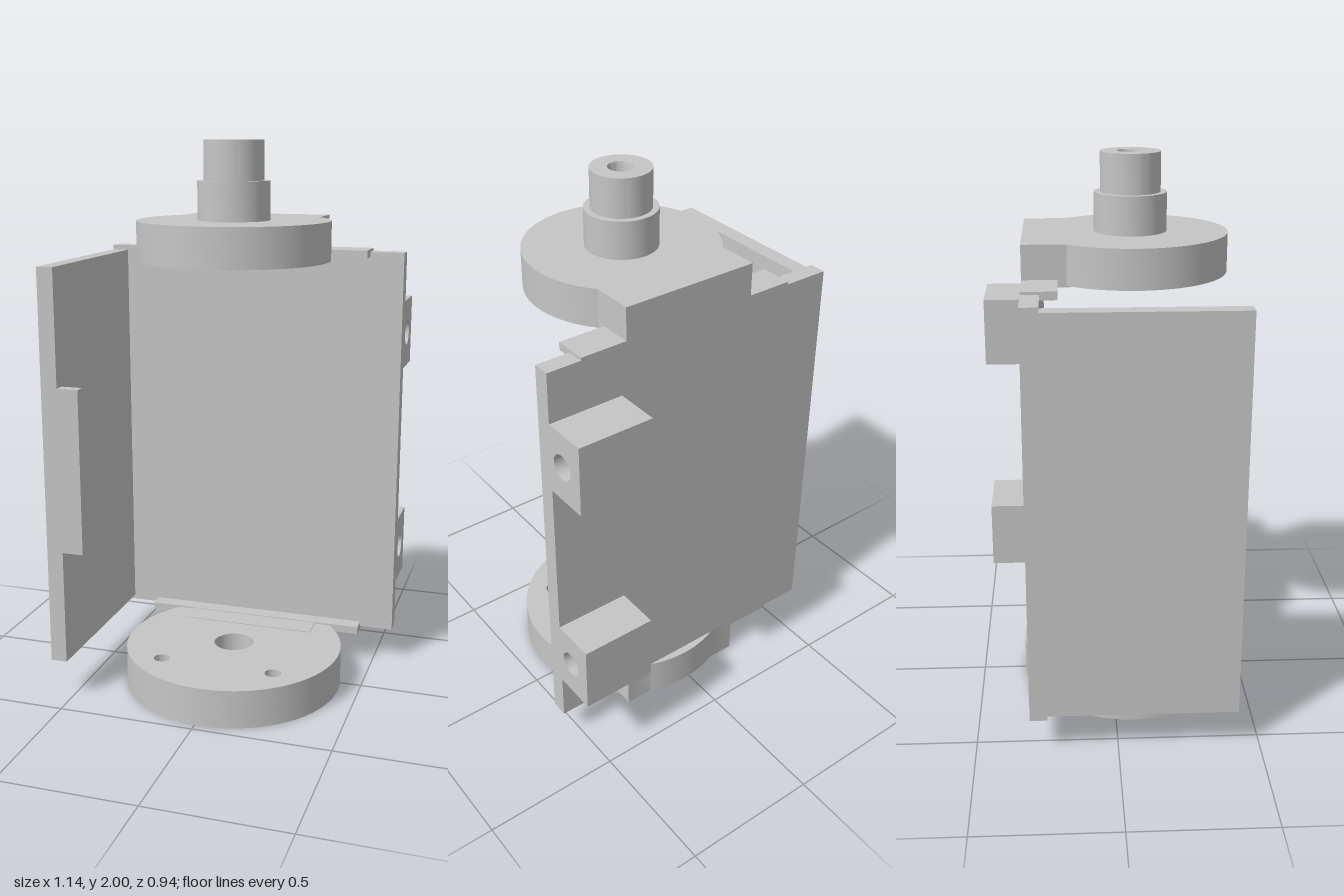
import * as THREE from 'three';
import { toCreasedNormals } from 'three/addons/utils/BufferGeometryUtils.js';

const CX = 0.02, CZ = 0.066; // axis shared by shaft and discs
const TAB = 0.255, BACK = 0.376; // half width and reach of the disc tabs

export function createModel() {
  const model = new THREE.Group();
  const metal = new THREE.MeshStandardMaterial({ color: 0xc6c6c6 });
  metal.name = 'light grey metal';

  function add(name, geometry, parent = model) {
    const mesh = new THREE.Mesh(geometry, metal);
    mesh.name = name;
    parent.add(mesh);
    return mesh;
  }

  // Box from its extents along each axis
  function box(name, [x0, x1], [y0, y1], [z0, z1], parent) {
    const mesh = add(name, new THREE.BoxGeometry(x1 - x0, y1 - y0, z1 - z0), parent);
    mesh.position.set((x0 + x1) / 2, (y0 + y1) / 2, (z0 + z1) / 2);
  }

  function extrude(shape, depth) {
    const g = new THREE.ExtrudeGeometry(shape, { depth, bevelEnabled: false, curveSegments: 40 });
    return toCreasedNormals(g, 0.5);
  }

  function circleHole(x, y, r) {
    return new THREE.Path().absarc(x, y, r, 0, Math.PI * 2, true);
  }

  // Round disc with a square tab reaching to the back plate
  function tabbedDisc(name, r, y0, y1, holes = []) {
    const s = new THREE.Shape();
    const a = Math.acos(TAB / r);
    s.absarc(0, 0, r, Math.PI - a, Math.PI * 2 + a, false);
    s.lineTo(TAB, BACK);
    if (r > BACK) {
      const b = Math.asin(BACK / r);
      s.absarc(0, 0, r, b, Math.PI - b, false);
    }
    s.lineTo(-TAB, BACK);
    s.holes = holes.map((h) => circleHole(...h));
    const g = extrude(s, y1 - y0);
    g.rotateX(-Math.PI / 2);
    add(name, g).position.set(CX, y0, CZ);
  }

  // Housing plates
  box('backPlate', [-0.57, 0.57], [0.13, 1.6], [-0.31, -0.248]);
  box('sidePlate', [-0.57, -0.51], [0.146, 1.583], [-0.248, 0.42]);
  box('sidePlateLip', [-0.51, -0.432], [0.566, 1.165], [0.38, 0.42]);

  // Locating strips and thin pads where the discs meet the plate
  for (const [end, y0, y1, p0, p1] of [
    ['bottom', 0.12, 0.148, 0.125, 0.145],
    ['top', 1.582, 1.61, 1.585, 1.605],
  ]) {
    box(end + 'Strip', [-0.403, 0.445], [y0, y1], [-0.31, -0.19]);
    box(end + 'Pad', [CX - TAB, CX + TAB], [p0, p1], [-0.3, -0.1]);
  }

  // Base disc: bolt holes are wider on the underside
  const bolts = (r) => [45, 135, 225, 315].map((d) => {
    const t = THREE.MathUtils.degToRad(d);
    return [0.3 * Math.cos(t), 0.3 * Math.sin(t), r];
  });
  tabbedDisc('baseDiscLower', 0.405, 0, 0.08, [[0, 0, 0.074], ...bolts(0.041)]);
  tabbedDisc('baseDiscUpper', 0.405, 0.08, 0.142, [[0, 0, 0.074], ...bolts(0.03)]);

  // Top disc
  tabbedDisc('topDisc', 0.34, 1.59, 1.728);

  // Stepped shaft with a blind bore
  const profile = [
    [0.127, 1.72], [0.127, 1.863], [0.105, 1.863], [0.105, 2],
    [0.046, 2], [0.043, 1.99], [0.043, 1.85], [0.03, 1.85], [0.03, 1.8], [0, 1.8],
  ].map(([x, y]) => new THREE.Vector2(x, y));
  add('shaft', toCreasedNormals(new THREE.LatheGeometry(profile, 64), 0.5)).position.set(CX, 0, CZ);

  // Hinge blocks with blind pin holes opening on the left side
  for (const y of [0.438, 1.29]) {
    const hinge = new THREE.Group();
    hinge.name = y < 1 ? 'lowerHinge' : 'upperHinge';
    model.add(hinge);
    const Y = [y - 0.1275, y + 0.1275], Z = [-0.472, -0.31];
    box('hingeBlock', [0.293, 0.4], Y, Z, hinge);
    for (const [x0, x1, r] of [[0.4, 0.45, 0.03], [0.45, 0.57, 0.046]]) {
      // Outline runs counter-clockwise so the bore walls face inward
      const s = new THREE.Shape([[Z[1], Y[0]], [Z[0], Y[0]], [Z[0], Y[1]], [Z[1], Y[1]]]
        .map(([z, v]) => new THREE.Vector2(-z, v)));
      s.holes.push(circleHole(0.375, y, r));
      const g = extrude(s, x1 - x0);
      g.rotateY(Math.PI / 2);
      add('hingeSleeve', g, hinge).position.x = x0;
    }
  }
  return model;
}
